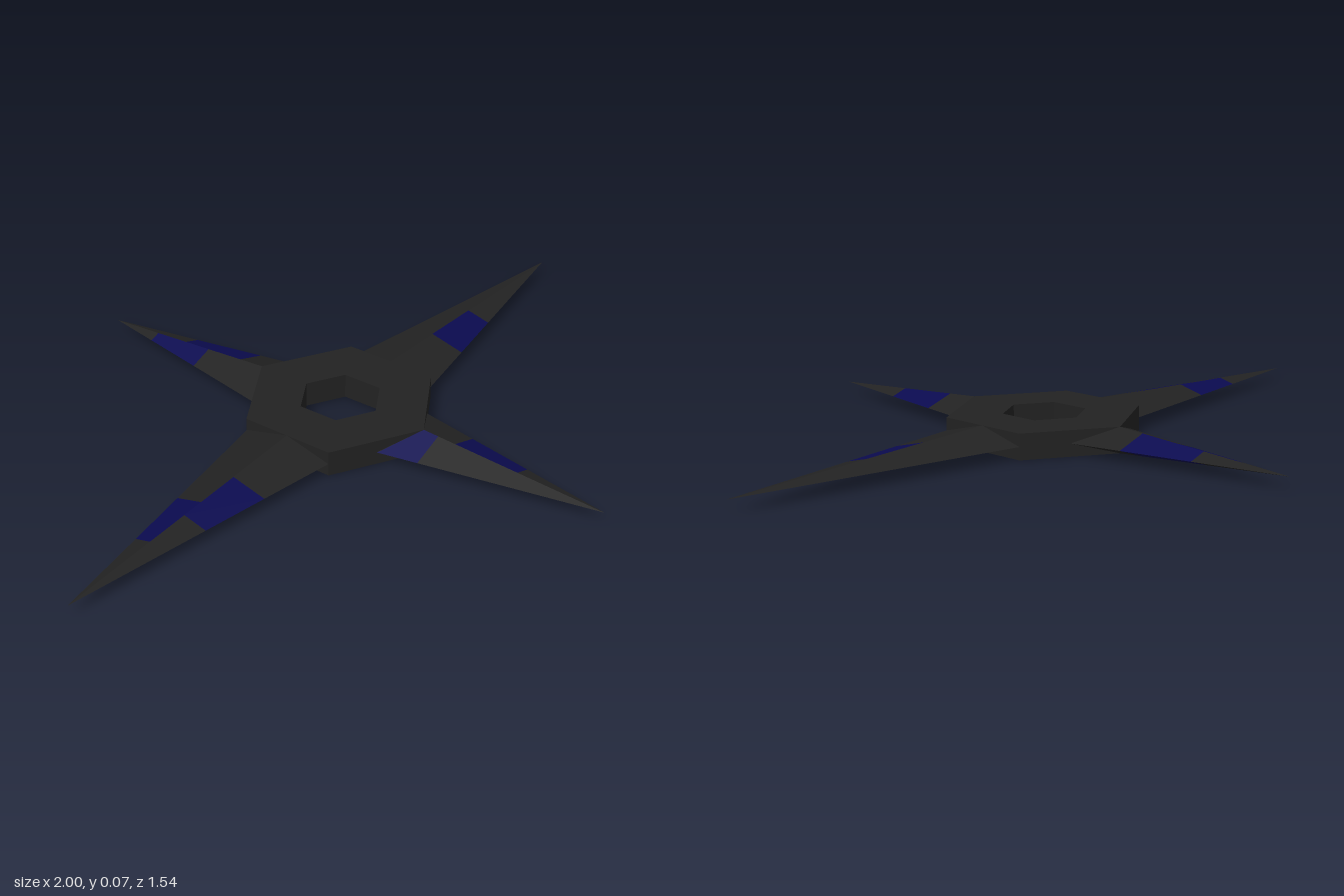
import * as THREE from 'three';

const H = 0.067, MID = H / 2;

// one flat-shaded mesh from a list of triangles; 'up' (+1/-1) gives the facing
function facetMesh(name, tris, material) {
  const pos = [];
  for (const { pts, up } of tris) {
    const [a, b, c] = pts;
    const n = b.clone().sub(a).cross(c.clone().sub(a));
    const order = n.y * up >= 0 ? [a, b, c] : [a, c, b];
    order.forEach(p => pos.push(p.x, p.y, p.z));
  }
  const geo = new THREE.BufferGeometry();
  geo.setAttribute('position', new THREE.Float32BufferAttribute(pos, 3));
  geo.computeVertexNormals();
  const mesh = new THREE.Mesh(geo, material);
  mesh.name = name;
  return mesh;
}

// diamond-section blade: four facets running to a point, each with an optional painted band
function makeBlade({ name, axis, dir, length, ridgeBase, edgeBase, halfWidth, bands }, steel, paint) {
  const place = (along, side, y) => axis === 'x'
    ? new THREE.Vector3(along * dir, y, side)
    : new THREE.Vector3(side, y, along * dir);
  const tip = place(length, 0, MID);
  const plain = [], painted = [];
  for (const up of [1, -1]) for (const side of [1, -1]) {
    const ridge = place(ridgeBase, 0, MID + up * MID);
    const edge = place(edgeBase, side * halfWidth, MID);
    const section = d => [[ridge, ridgeBase], [edge, edgeBase]].map(([p, base]) =>
      p.clone().lerp(tip, THREE.MathUtils.clamp((d - base) / (length - base), 0, 1)));
    const band = bands[(up > 0 ? 'top' : 'bottom') + (side > 0 ? 'Plus' : 'Minus')];
    const stops = [edgeBase, ...(band || []), length];
    for (let i = 0; i < stops.length - 1; i++) {
      const [r0, e0] = section(stops[i]), [r1, e1] = section(stops[i + 1]);
      const list = band && i === 1 ? painted : plain;
      list.push({ pts: [r0, e0, r1], up }, { pts: [e0, e1, r1], up });
    }
  }
  const group = new THREE.Group();
  group.name = name;
  group.add(facetMesh('bladeFacets', plain, steel));
  if (painted.length) group.add(facetMesh('bladePaint', painted, paint));
  return group;
}

export function createModel() {
  const steel = new THREE.MeshStandardMaterial({ color: 0x222222 });
  steel.name = 'dark steel';
  const paint = new THREE.MeshStandardMaterial({ color: 0x0b0b50 });
  paint.name = 'navy paint';

  const model = new THREE.Group();
  model.name = 'throwingStar';

  // hexagonal hub with a hexagonal hole
  const hexagon = r => Array.from({ length: 6 }, (_, i) => {
    const a = Math.PI / 2 + i * Math.PI / 3;
    return new THREE.Vector2(r * Math.cos(a), r * Math.sin(a));
  });
  const shape = new THREE.Shape(hexagon(0.257));
  shape.holes.push(new THREE.Path(hexagon(0.11)));
  const hubGeo = new THREE.ExtrudeGeometry(shape, { depth: H, bevelEnabled: false });
  hubGeo.rotateX(-Math.PI / 2);
  const hub = new THREE.Mesh(hubGeo, steel);
  hub.name = 'hub';
  model.add(hub);

  // long blades sit on the hub's flats, short ones on its corners
  const long = { axis: 'x', length: 1, ridgeBase: 0.222, edgeBase: 0.222, halfWidth: 0.128 };
  const short = { axis: 'z', length: 0.77, ridgeBase: 0.257, edgeBase: 0.193, halfWidth: 0.111 };
  const blades = [
    { ...long, name: 'leftBlade', dir: 1,
      bands: { topPlus: [0.42, 0.6], bottomPlus: [0.4, 0.55], bottomMinus: [0.43, 0.61] } },
    { ...long, name: 'rightBlade', dir: -1,
      bands: { topPlus: [0.43, 0.61], topMinus: [0.55, 0.73] } },
    { ...short, name: 'frontBlade', dir: 1,
      bands: { topPlus: [0.35, 0.53], topMinus: [0.194, 0.3], bottomPlus: [0.38, 0.57] } },
    { ...short, name: 'backBlade', dir: -1,
      bands: { topPlus: [0.33, 0.52], topMinus: [0.44, 0.62], bottomPlus: [0.33, 0.53] } },
  ];
  for (const b of blades) model.add(makeBlade(b, steel, paint));
  return model;
}
